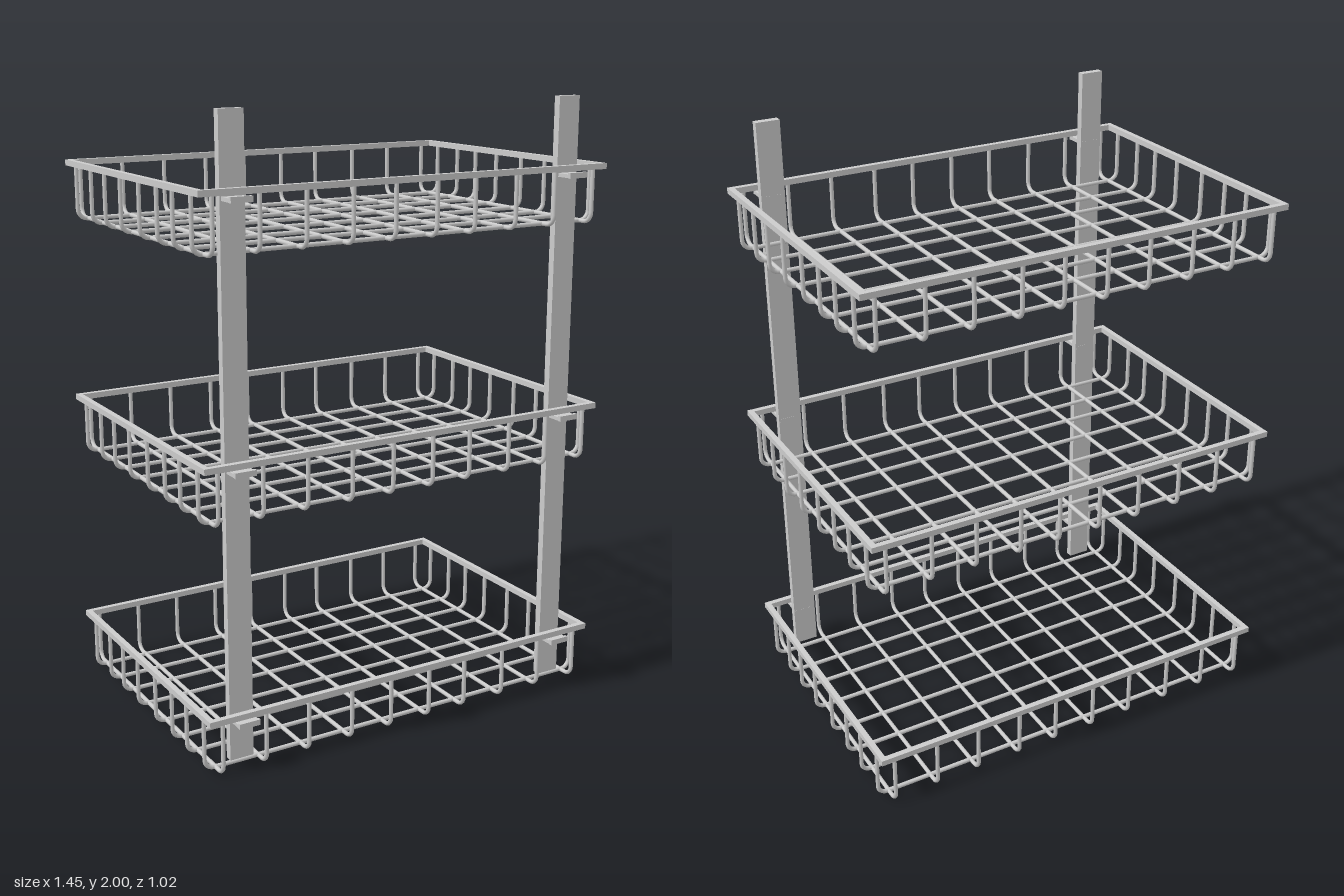
import * as THREE from 'three';

const material = new THREE.MeshStandardMaterial({ color: 0xcccccc });
const HALF_X = 0.725, HALF_Z = 0.5, CENTRE_Z = -0.008; // basket rim footprint
const RIM = 0.019, WIRE = 0.0072, TIER_STEP = 0.795;
const RIM_TOP = 0.196, FLOOR = 0.0076;

// Runs straight from one listed point to the next, one tube ring per point
class PointPath extends THREE.Curve {
  constructor(points) {
    super();
    this.points = points;
  }
  getPoint(t) {
    const f = t * (this.points.length - 1);
    const i = Math.min(Math.floor(f), this.points.length - 2);
    return this.points[i].clone().lerp(this.points[i + 1], f - i);
  }
  getPointAt(u) { return this.getPoint(u); }
  getTangentAt(u) { return this.getTangent(u); }
}

function addMesh(parent, name, geometry, x = 0, y = 0, z = 0) {
  const mesh = new THREE.Mesh(geometry, material);
  mesh.name = name;
  mesh.position.set(x, y, z);
  parent.add(mesh);
  return mesh;
}

// U-shaped wire in the XY plane with rounded lower corners
function wireGeometry(half) {
  const r = 0.032, steps = 5;
  const side = [new THREE.Vector3(half, RIM_TOP - RIM * 0.5, 0)];
  for (let i = 0; i <= steps; i++) {
    const a = (i / steps) * Math.PI / 2;
    side.push(new THREE.Vector3(half - r + r * Math.cos(a), FLOOR + r - r * Math.sin(a), 0));
  }
  const mirrored = side.map(p => new THREE.Vector3(-p.x, p.y, 0)).reverse();
  const points = [...side, ...mirrored];
  return new THREE.TubeGeometry(new PointPath(points), points.length - 1, WIRE, 8, false);
}

// Rectangular rim frame, laid flat
function rimGeometry() {
  const rectangle = (Target, hx, hz) => new Target([
    new THREE.Vector2(-hx, -hz), new THREE.Vector2(hx, -hz),
    new THREE.Vector2(hx, hz), new THREE.Vector2(-hx, hz),
  ]);
  const shape = rectangle(THREE.Shape, HALF_X, HALF_Z);
  shape.holes.push(rectangle(THREE.Path, HALF_X - RIM, HALF_Z - RIM));
  return new THREE.ExtrudeGeometry(shape, { depth: RIM, bevelEnabled: false }).rotateX(-Math.PI / 2);
}

export function createModel() {
  const model = new THREE.Group();
  model.name = 'threeTierBasketRack';

  const rim = rimGeometry();
  const crossWire = wireGeometry(HALF_X - 0.011);
  const depthWire = wireGeometry(HALF_Z - 0.011).rotateY(Math.PI / 2);
  const depthWireX = [-0.678, -0.529, -0.377, -0.22, -0.072, 0.076, 0.217, 0.373, 0.525, 0.677];
  const crossWireZ = [-0.441, -0.315, -0.203, -0.079, 0.062, 0.19, 0.299, 0.423];
  const hook = new THREE.BoxGeometry(0.07, 0.012, 0.085);
  const hookLip = new THREE.BoxGeometry(0.07, 0.018, 0.012);

  for (let tier = 0; tier < 3; tier++) {
    // Wire basket
    const basket = new THREE.Group();
    basket.name = 'basket' + (tier + 1);
    basket.position.y = tier * TIER_STEP;
    model.add(basket);
    addMesh(basket, 'rim', rim, 0, RIM_TOP - RIM, CENTRE_Z);
    for (const x of depthWireX) addMesh(basket, 'depthWire', depthWire, x, 0, CENTRE_Z);
    for (const z of crossWireZ) addMesh(basket, 'crossWire', crossWire, 0, 0, z);

    // Hooks that carry the basket on the uprights
    for (const side of [-1, 1]) {
      addMesh(basket, 'hook', hook, side * 0.598, 0.163, 0.4655);
      addMesh(basket, 'hookLip', hookLip, side * 0.598, 0.165, 0.502);
    }
  }

  // Flat uprights
  const upright = new THREE.BoxGeometry(0.08, 1.972, 0.025);
  addMesh(model, 'leftUpright', upright, 0.598, 1.014, 0.436);
  addMesh(model, 'rightUpright', upright, -0.598, 1.014, 0.436);

  return model;
}
